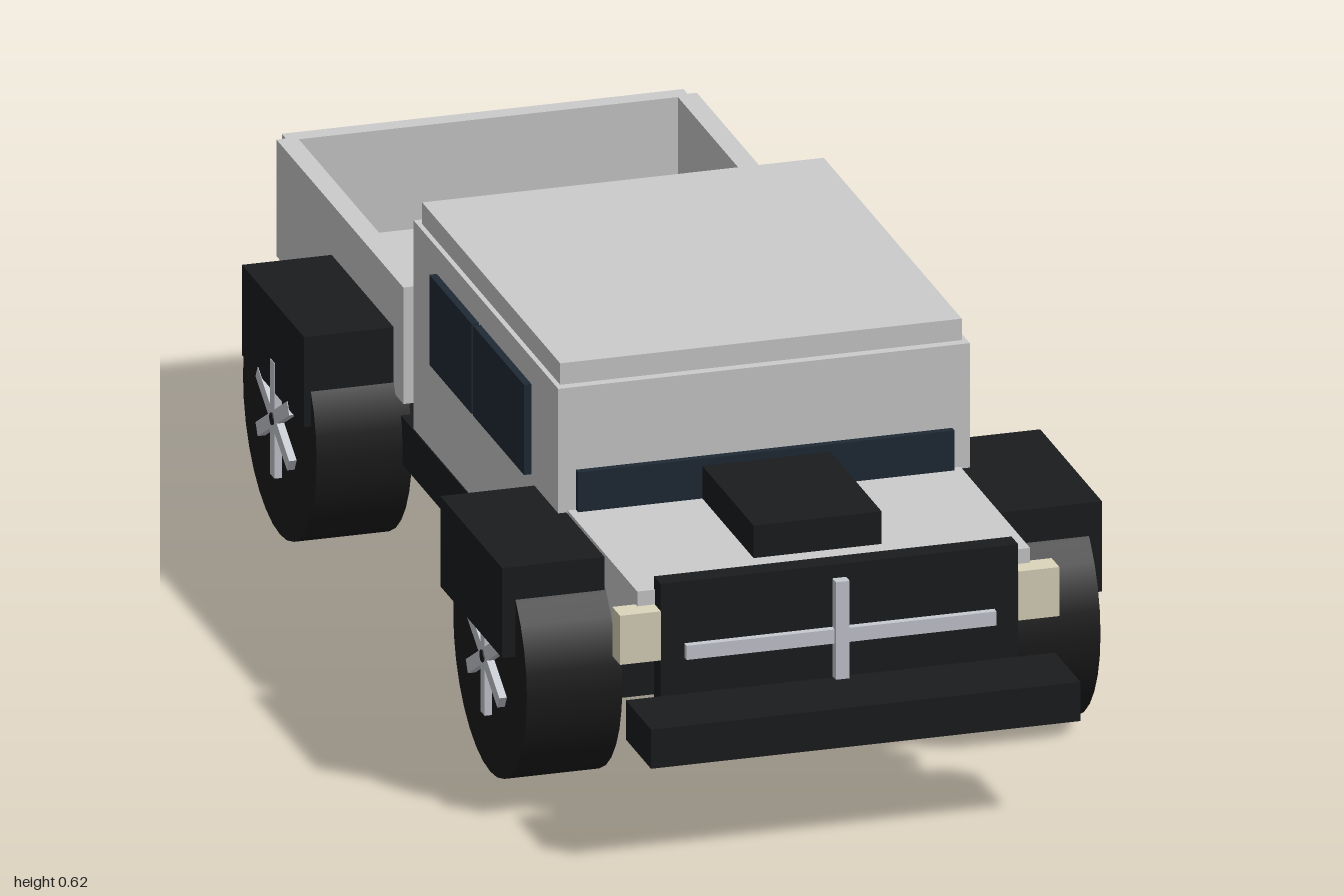
import * as THREE from 'three';

const mat = (color) => new THREE.MeshStandardMaterial({ color });

export function createModel() {
  const truck = new THREE.Group();
  truck.name = 'pickupTruck';
  const body = mat(0xcccccc), black = mat(0x1a1c1d), rubber = mat(0x1c1c1c);
  const glass = mat(0x1f2a35), chrome = mat(0xc8cad2), cream = mat(0xdcd5bc), red = mat(0xd42424);

  // Box given by its extents on each axis
  const box = (name, [x0, x1], [y0, y1], [z0, z1], material) => {
    const mesh = new THREE.Mesh(new THREE.BoxGeometry(x1 - x0, y1 - y0, z1 - z0), material);
    mesh.position.set((x0 + x1) / 2, (y0 + y1) / 2, (z0 + z1) / 2);
    mesh.name = name;
    truck.add(mesh);
  };
  // Same box on both sides of the truck
  const pair = (name, [x0, x1], y, z, material) => {
    box(name + 'Left', [x0, x1], y, z, material);
    box(name + 'Right', [-x1, -x0], y, z, material);
  };

  // Chassis and cab
  box('chassis', [-0.33, 0.33], [0.168, 0.245], [-0.87, 0.72], black);
  box('cab', [-0.328, 0.328], [0.245, 0.585], [-0.27, 0.476], body);
  box('roof', [-0.32, 0.32], [0.585, 0.62], [-0.252, 0.46], body);
  box('windshield', [-0.3, 0.3], [0.37, 0.45], [0.47, 0.488], glass);
  pair('frontWindow', [0.32, 0.34], [0.395, 0.542], [0.075, 0.338], glass);
  pair('rearWindow', [0.32, 0.34], [0.395, 0.542], [-0.15, 0.068], glass);

  // Hood and nose
  box('hood', [-0.313, 0.313], [0.287, 0.385], [0.47, 0.835], body);
  box('hoodScoop', [-0.102, 0.102], [0.385, 0.438], [0.47, 0.752], black);
  box('grille', [-0.285, 0.285], [0.18, 0.405], [0.83, 0.864], black);
  box('grilleBarHorizontal', [-0.247, 0.247], [0.281, 0.304], [0.86, 0.876], chrome);
  box('grilleBarVertical', [-0.011, 0.011], [0.203, 0.383], [0.86, 0.882], chrome);
  pair('headlight', [0.285, 0.35], [0.281, 0.361], [0.826, 0.866], cream);
  box('bumper', [-0.342, 0.342], [0.16, 0.224], [0.87, 1], black);

  // Cargo bed, open towards the cab
  box('bedFloor', [-0.328, 0.328], [0.275, 0.298], [-0.955, -0.3], body);
  pair('bedSide', [0.302, 0.335], [0.275, 0.465], [-0.955, -0.3], body);
  box('tailgate', [-0.32, 0.32], [0.296, 0.465], [-0.976, -0.946], body);
  pair('tailLight', [0.19, 0.275], [0.32, 0.382], [-1, -0.97], red);

  // Fenders
  pair('frontFender', [0.315, 0.478], [0.235, 0.382], [0.353, 0.672], black);
  pair('rearFender', [0.315, 0.478], [0.235, 0.382], [-0.67, -0.35], black);

  // Wheels: tyre, six spokes made of three crossing bars, and hub
  const addWheel = (name, side, inner, outer, z) => {
    const wheel = new THREE.Group();
    wheel.name = name;
    wheel.position.set(0, 0.19, z);
    const tyreGeo = new THREE.CylinderGeometry(0.19, 0.19, outer - inner, 32);
    const tyre = new THREE.Mesh(tyreGeo.rotateZ(Math.PI / 2), rubber);
    tyre.name = 'tyre';
    tyre.position.x = side * (inner + outer) / 2;
    wheel.add(tyre);
    for (let i = 0; i < 3; i++) {
      const spoke = new THREE.Mesh(new THREE.BoxGeometry(0.02, 0.188, 0.022), chrome);
      spoke.name = 'spoke';
      spoke.position.x = side * (outer + 0.002);
      spoke.rotation.x = i * Math.PI / 3;
      wheel.add(spoke);
    }
    const hubGeo = new THREE.CylinderGeometry(0.01, 0.01, 0.028, 12);
    const hub = new THREE.Mesh(hubGeo.rotateZ(Math.PI / 2), black);
    hub.name = 'hub';
    hub.position.x = side * outer;
    wheel.add(hub);
    truck.add(wheel);
  };
  for (const [label, side] of [['Left', 1], ['Right', -1]]) {
    addWheel('frontWheel' + label, side, 0.305, 0.457, 0.542);
    addWheel('rearWheel' + label, side, 0.315, 0.467, -0.51);
  }
  return truck;
}
